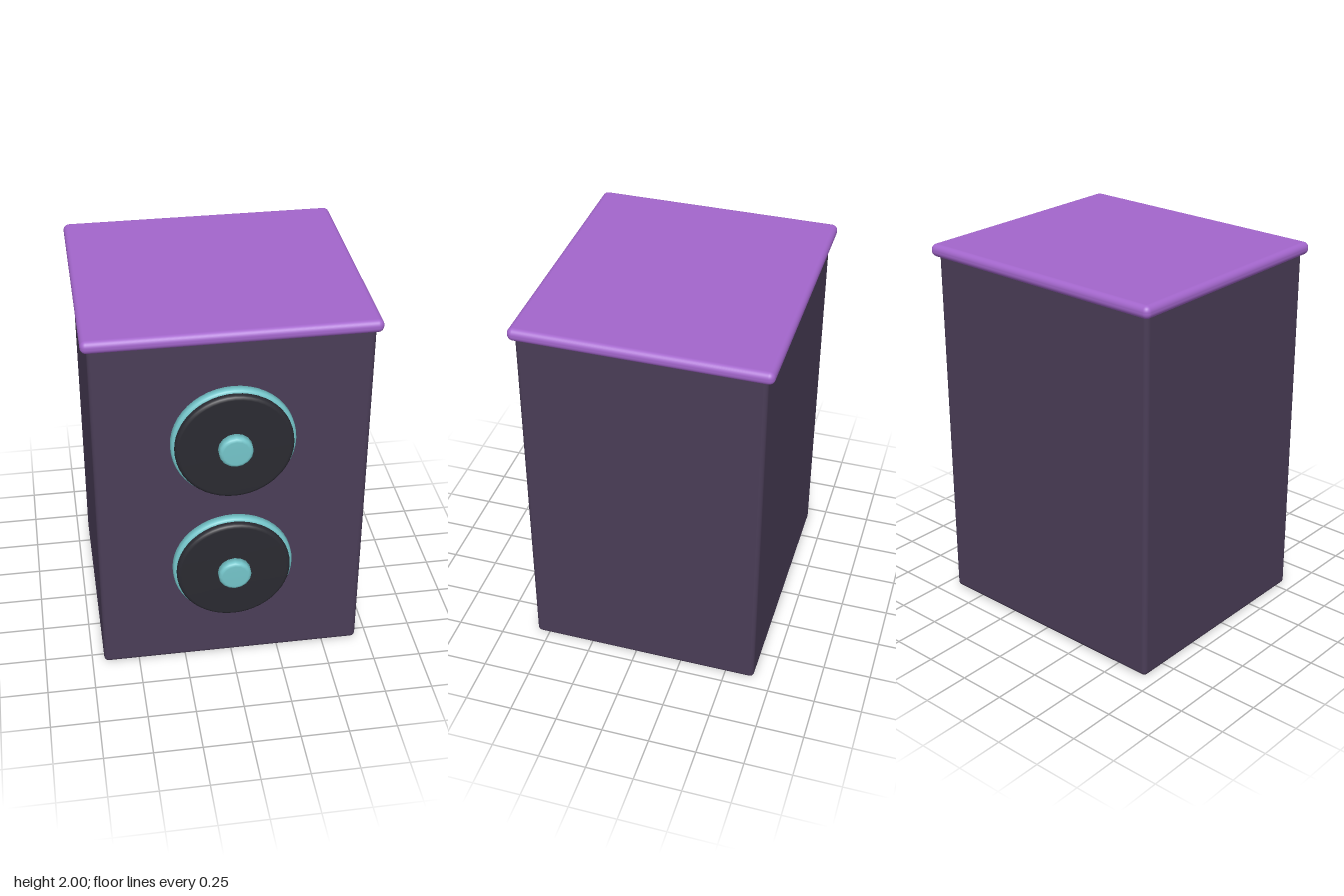
import * as THREE from 'three';
import { RoundedBoxGeometry } from 'three/addons/geometries/RoundedBoxGeometry.js';

const material = (name, color) => {
  const m = new THREE.MeshStandardMaterial({ color });
  m.name = name;
  return m;
};

// Disc facing +z with a rounded front rim, from z = back to z = front
function roundedDisc(radius, back, front, bevel, segments) {
  const points = [new THREE.Vector2(0, back), new THREE.Vector2(radius, back)];
  const steps = 4;
  for (let i = 0; i <= steps; i++) {
    const a = (i / steps) * Math.PI / 2;
    points.push(new THREE.Vector2(
      radius - bevel + Math.cos(a) * bevel,
      front - bevel + Math.sin(a) * bevel));
  }
  points.push(new THREE.Vector2(0, front));
  return new THREE.LatheGeometry(points, segments).rotateX(Math.PI / 2);
}

export function createModel() {
  const model = new THREE.Group();
  model.name = 'speaker';

  const cabinetMat = material('dark plum', 0x4a3d57);
  const lidMat = material('purple', 0xa366cc);
  const coneMat = material('charcoal', 0x2a2a31);
  const trimMat = material('teal', 0x74c5ca);

  const add = (parent, name, geometry, mat, x, y, z) => {
    const mesh = new THREE.Mesh(geometry, mat);
    mesh.name = name;
    mesh.position.set(x, y, z);
    parent.add(mesh);
  };

  // Cabinet and overhanging lid
  add(model, 'cabinet', new RoundedBoxGeometry(1.374, 1.96, 1.222, 3, 0.024), cabinetMat, 0, 0.985, -0.044);
  add(model, 'lid', new RoundedBoxGeometry(1.432, 0.066, 1.284, 4, 0.03), lidMat, 0, 1.967, -0.046);

  // Two matching drivers: trim ring, cone and centre cap
  const ring = roundedDisc(0.31, 0.54, 0.61, 0.02, 48);
  const cone = roundedDisc(0.294, 0.56, 0.642, 0.02, 48);
  const cap = roundedDisc(0.085, 0.62, 0.689, 0.02, 16);
  for (const [name, y] of [['upperDriver', 1.384], ['lowerDriver', 0.618]]) {
    const driver = new THREE.Group();
    driver.name = name;
    driver.position.y = y;
    add(driver, 'trimRing', ring, trimMat, 0, 0, 0);
    add(driver, 'cone', cone, coneMat, 0, 0, 0);
    add(driver, 'centreCap', cap, trimMat, 0, 0, 0);
    model.add(driver);
  }
  return model;
}
